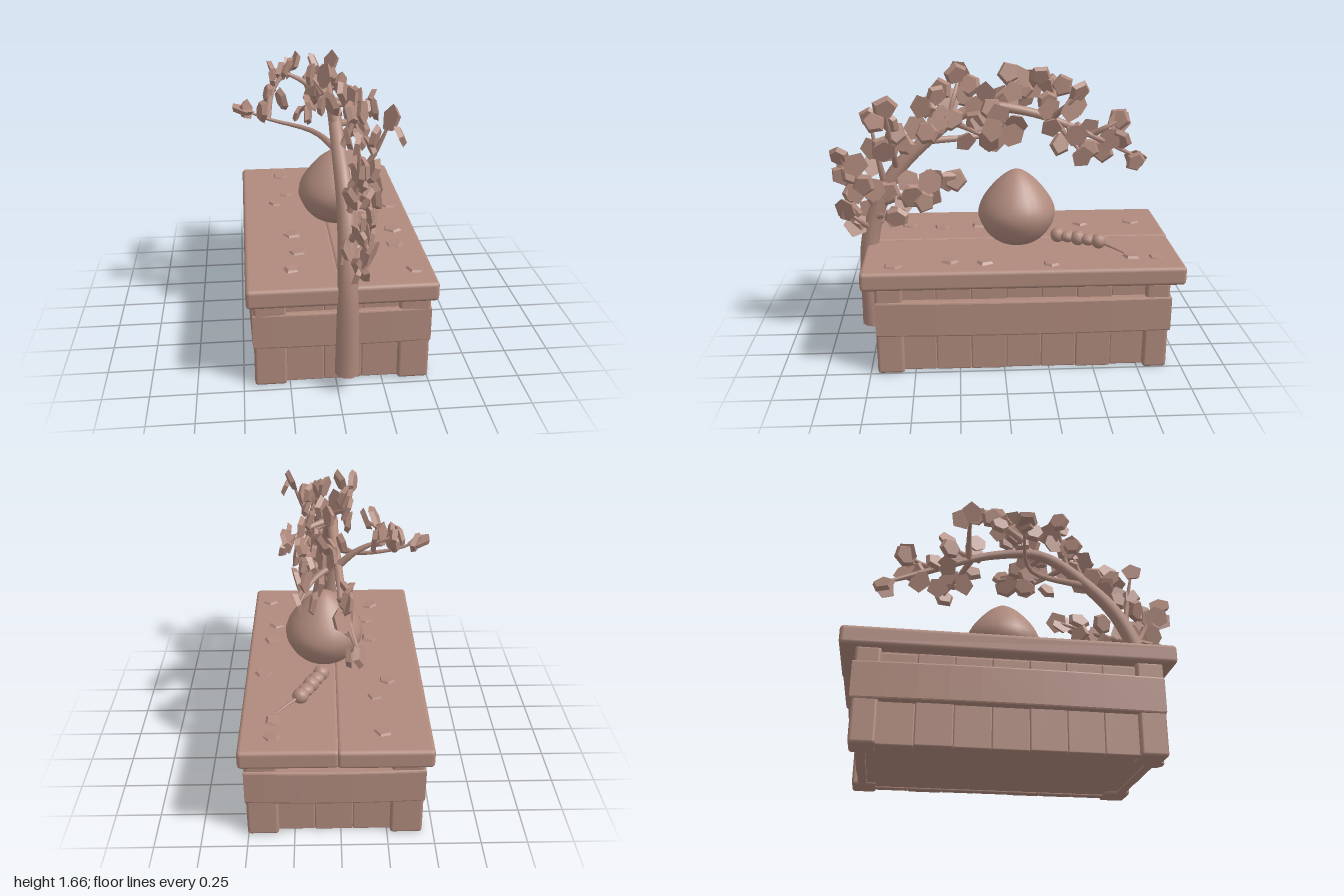
import * as THREE from 'three';
import { RoundedBoxGeometry } from 'three/addons/geometries/RoundedBoxGeometry.js';

let seed = 7;
function rand(a, b) {
  seed = (seed * 16807) % 2147483647;
  return a + (b - a) * (seed / 2147483647);
}
const V = (x, y, z) => new THREE.Vector3(x, y, z);

export function createModel() {
  seed = 7;
  const model = new THREE.Group();
  const clay = new THREE.MeshStandardMaterial({ color: 0xb08a7d });
  clay.name = 'clay brown';

  function add(name, geometry, parent) {
    const mesh = new THREE.Mesh(geometry, clay);
    mesh.name = name;
    parent.add(mesh);
    return mesh;
  }
  function group(name, parent = model) {
    const g = new THREE.Group();
    g.name = name;
    parent.add(g);
    return g;
  }
  // Rounded box given by its limits on each axis
  function block(name, x0, x1, y0, y1, z0, z1, r, parent) {
    const m = add(name, new RoundedBoxGeometry(x1 - x0, y1 - y0, z1 - z0, 2, r), parent);
    m.position.set((x0 + x1) / 2, (y0 + y1) / 2, (z0 + z1) / 2);
  }
  // Tube along a curve whose radius runs from r0 to r1
  function limb(name, points, r0, r1, parent, segments = 12, sides = 7) {
    const curve = new THREE.CatmullRomCurve3(points);
    const geo = new THREE.TubeGeometry(curve, segments, 1, sides);
    const pos = geo.attributes.position, v = V(0, 0, 0);
    for (let i = 0; i < pos.count; i++) {
      const t = Math.floor(i / (sides + 1)) / segments;
      const c = curve.getPointAt(t);
      v.fromBufferAttribute(pos, i).sub(c).multiplyScalar(r0 + (r1 - r0) * t).add(c);
      pos.setXYZ(i, v.x, v.y, v.z);
    }
    add(name, geo, parent);
    return curve;
  }

  // Planter box: core, tabletop boards, corner posts
  const box = group('planterBox');
  block('core', -0.39, 0.455, 0.015, 0.52, -0.855, 0.655, 0.01, box);
  block('topBoardRight', -0.475, 0.022, 0.51, 0.617, -1, 0.785, 0.022, box);
  block('topBoardLeft', 0.012, 0.53, 0.51, 0.617, -0.995, 0.785, 0.022, box);
  for (const [x0, x1] of [[-0.44, -0.265], [0.335, 0.505]])
    for (const [z0, z1] of [[-0.915, -0.78], [0.56, 0.71]])
      block('cornerPost', x0, x1, 0, 0.52, z0, z1, 0.018, box);

  // Rail band around the box, bowing out between the corners
  const plan = new THREE.Shape();
  plan.moveTo(-0.435, -0.7);
  plan.quadraticCurveTo(0.03, -0.715, 0.5, -0.7);
  plan.quadraticCurveTo(0.53, 0.1, 0.5, 0.915);
  plan.quadraticCurveTo(0.03, 0.94, -0.435, 0.915);
  plan.quadraticCurveTo(-0.47, 0.1, -0.435, -0.7);
  const band = new THREE.ExtrudeGeometry(plan, { depth: 0.185, curveSegments: 10, bevelSize: 0.01, bevelThickness: 0.01, bevelSegments: 2 });
  band.rotateX(-Math.PI / 2);
  add('railBand', band, box).position.y = 0.24;

  // Upright planks recessed between the posts
  const planks = group('planks');
  for (let i = 0; i < 7; i++) {
    const z = -0.79 + i * 0.195, out = rand(0, 0.015);
    block('sidePlank', -0.405 - out, -0.36, 0.005, 0.5, z, z + 0.195, 0.008, planks);
    block('sidePlank', 0.42, 0.468 + out, 0.005, 0.5, z, z + 0.195, 0.008, planks);
  }
  for (let i = 0; i < 3; i++) {
    const x = -0.27 + i * 0.205, out = rand(0, 0.015);
    block('endPlank', x, x + 0.205, 0.005, 0.5, -0.873 - out, -0.83, 0.008, planks);
    block('endPlank', x, x + 0.205, 0.005, 0.5, 0.63, 0.673 + out, 0.008, planks);
  }

  // Pointed round fruit
  const profile = new THREE.SplineCurve([[0.001, 0.61], [0.1, 0.63], [0.175, 0.69], [0.222, 0.79],
    [0.2, 0.88], [0.12, 0.985], [0.045, 1.045], [0.001, 1.06]].map(([r, y]) => new THREE.Vector2(r, y)));
  add('fruit', new THREE.LatheGeometry(profile.getPoints(24), 24), model).position.set(0.08, 0, -0.09);

  // Beaded pod with a thin stalk lying on the table
  const pod = group('pod');
  for (let i = 0; i < 5; i++) {
    const bead = add('bead', new THREE.SphereGeometry(0.046, 10, 8), pod);
    bead.position.set(0.1 + i * 0.028, 0.66, -0.33 - i * 0.056);
    bead.scale.set(1, i % 2 ? 0.75 : 0.95, 0.95);
  }
  limb('stalk', [V(0.2, 0.66, -0.54), V(0.27, 0.65, -0.61), V(0.34, 0.635, -0.68)], 0.012, 0.005, pod);

  // Trunk arching from the front face over the table
  const tree = group('tree');
  const trunk = limb('trunk', [V(0.05, 0.1, 0.77), V(0.05, 0.66, 0.76), V(0.05, 1, 0.63),
    V(0.04, 1.2, 0.45), V(0.03, 1.4, 0.15), V(0.02, 1.38, -0.15), V(-0.03, 1.2, -0.58),
    V(-0.09, 1.07, -0.82)], 0.066, 0.01, tree, 48, 10);
  const foot = add('trunkFoot', new THREE.CircleGeometry(0.066, 10), tree);
  foot.position.set(0.05, 0.1, 0.77);
  foot.rotation.x = Math.PI / 2;

  // Angular five- or six-sided leaf, its face looking along x
  const leafShapes = [5, 5, 6].map((n, k) => {
    const g = new THREE.CylinderGeometry(0.054, 0.07, 0.026, n).toNonIndexed();
    g.rotateY(k);
    g.rotateZ(Math.PI / 2);
    g.computeVertexNormals();
    return g;
  });
  function leaf(name, parent) {
    return add(name, leafShapes[Math.floor(rand(0, 3))], parent);
  }

  // Twig with leaves staggered around its outer part
  function spray(count, from, points) {
    const g = group('spray', tree);
    const curve = limb('twig', points, 0.022, 0.007, g);
    for (let i = 0; i < count; i++) {
      const p = curve.getPointAt(from + (1 - from) * (i / (count - 1)));
      const spread = i === count - 1 ? 0.01 : 0.062, a = i * 2.4 + rand(0, 0.8);
      const m = leaf('leaf', g);
      m.position.copy(p).add(V(rand(-spread, spread), Math.sin(a) * spread, Math.cos(a) * spread));
      m.rotation.set(rand(0, 6.28), rand(-0.55, 0.55) + (rand(0, 1) < 0.5 ? Math.PI : 0), rand(-0.45, 0.45), 'YZX');
      m.scale.set(1, rand(0.85, 1.1), rand(0.85, 1.1));
    }
  }

  // Twigs off the trunk: leaf count, place along the trunk, tip
  for (const [count, at, x, y, z] of [
    [9, 0.28, 0.13, 1.15, 0.9], [5, 0.23, 0.13, 0.83, 0.87], [3, 0.26, 0.15, 0.82, 0.6],
    [4, 0.33, 0.1, 1.36, 0.73], [7, 0.38, 0.27, 1.45, 0.63], [11, 0.29, 0.2, 1.03, 0.29],
    [8, 0.47, 0.12, 1.5, 0.36], [6, 0.53, -0.1, 1.59, 0.22], [8, 0.6, 0.29, 1.32, -0.05],
    [6, 0.62, -0.05, 1.56, -0.12], [6, 0.54, 0.2, 1.26, 0.06], [6, 0.77, 0.21, 1.17, -0.45],
    [4, 0.77, 0.1, 1.49, -0.44], [3, 0.78, -0.27, 1.49, -0.33], [3, 0.87, -0.03, 1.31, -0.69],
    [6, 0.8, -0.09, 1.07, -0.82]]) {
    const base = trunk.getPointAt(at), tip = V(x, y, z);
    spray(count, 0.3, [base, base.clone().lerp(tip, 0.5).add(V(0.03, 0.01, 0)), tip]);
  }

  // Long bough to the right, forking upward
  const fork = V(-0.32, 1.28, -0.02);
  spray(2, 0.95, [V(0.04, 1.22, 0.42), V(-0.08, 1.23, 0.06), fork, V(-0.43, 1.325, -0.03)]);
  spray(6, 0.35, [fork, V(-0.28, 1.41, -0.15), V(-0.15, 1.55, -0.25)]);
  const endLeaf = leaf('boughEndLeaf', tree);
  endLeaf.position.set(-0.46, 1.33, -0.03);
  endLeaf.rotation.z = 1.25;

  // Fallen leaves lying flat on the table
  const fallen = group('fallenLeaves');
  for (const [x, z] of [[-0.22, -0.82], [0.36, -0.86], [-0.2, -0.5], [-0.27, -0.35], [0.35, -0.72],
    [0.43, -0.26], [0.39, 0.1], [0.37, 0.3], [0.43, 0.61], [-0.22, 0.55], [-0.2, 0.12], [-0.18, 0.35]]) {
    const m = leaf('fallenLeaf', fallen);
    m.position.set(x, 0.62, z);
    m.rotation.set(rand(0, 6.28), 0, -Math.PI / 2 + rand(-0.15, 0.15), 'ZYX');
    m.scale.set(0.6, rand(0.6, 0.8), rand(0.7, 0.9));
  }
  return model;
}
